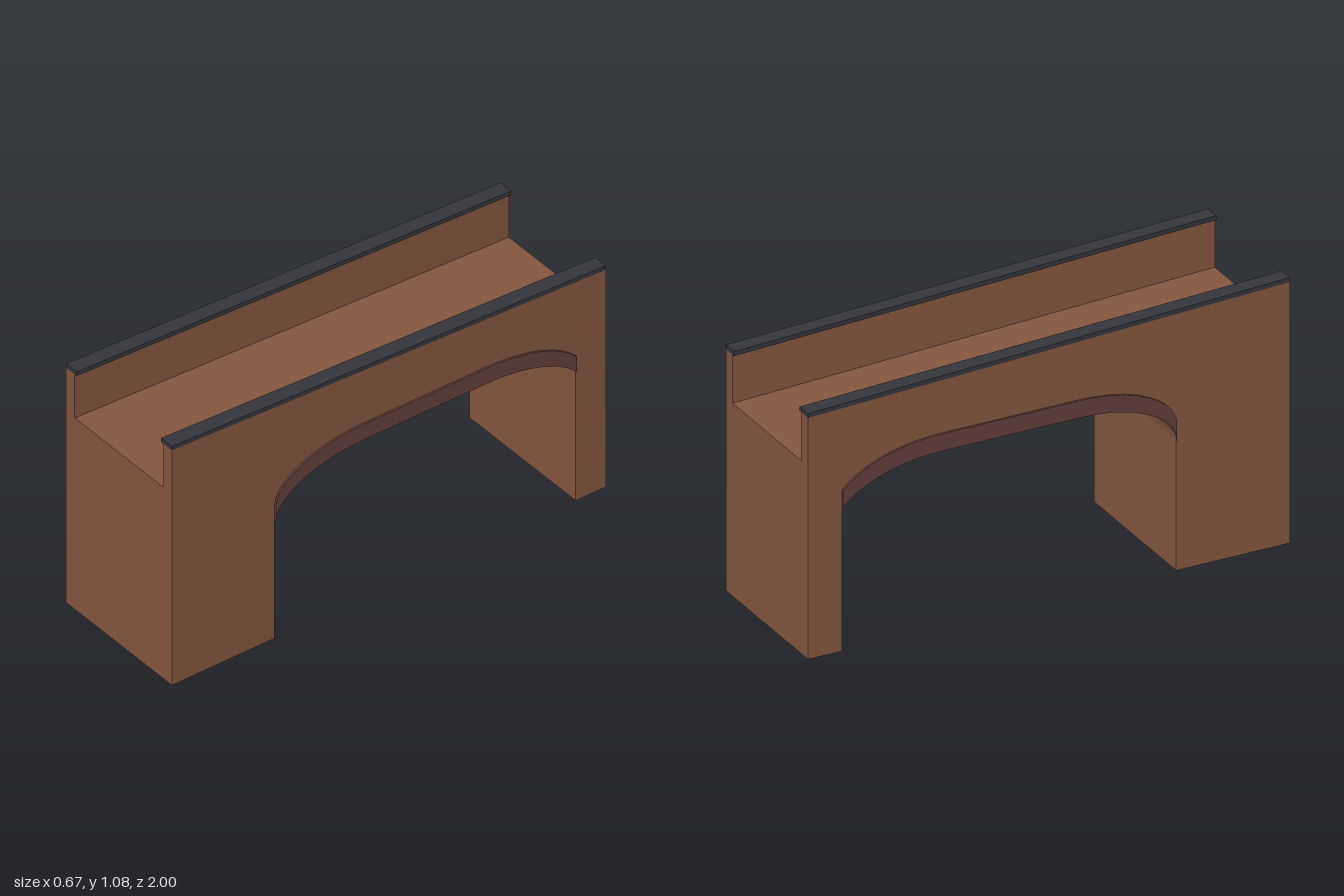
import * as THREE from 'three';

const brick = new THREE.MeshStandardMaterial({ color: 0x855740 });
brick.name = 'brown brick';
const archBrick = new THREE.MeshStandardMaterial({ color: 0x623f3b });
archBrick.name = 'dark red arch brick';
const coping = new THREE.MeshStandardMaterial({ color: 0x35363c });
coping.name = 'dark grey coping';

const HALF = 0.32;   // half width of the bridge
const SKEW = 0.01;   // sideways drift per unit of z
const SLOPE = 0.04;  // rise per unit of z
const RING = 0.07;   // height of the arch ring

// Arch curve as [z, y] from the front springing to the back one
function archPoints(lift = 0) {
  const n = 10, pts = [];
  for (let i = 0; i <= n; i++) {
    const a = (i / n) * Math.PI / 2;
    pts.push([0.125 + 0.402 * Math.cos(a), 0.53 + 0.19 * Math.sin(a) + lift]);
  }
  const end = Math.asin(0.413 / 0.46);
  for (let i = 0; i <= n; i++) {
    const a = (i / n) * end;
    pts.push([-0.447 - 0.46 * Math.sin(a), 0.48 + 0.24 * Math.cos(a) + lift]);
  }
  return pts;
}

// Extrudes a [z, y] outline across x0..x1 and skews it
function slab(name, outline, x0, x1, material) {
  const shape = new THREE.Shape(outline.map(([z, y]) => new THREE.Vector2(z, y)));
  const geo = new THREE.ExtrudeGeometry(shape, { depth: x1 - x0, bevelEnabled: false });
  geo.rotateY(-Math.PI / 2).translate(x1, 0, 0);
  geo.applyMatrix4(new THREE.Matrix4().set(
    1, 0, SKEW, 0,
    0, 1, 0, 0,
    0, 0, 1, 0,
    0, 0, 0, 1));
  const mesh = new THREE.Mesh(geo, material);
  mesh.name = name;
  return mesh;
}

// Sloping strip along the full length between two mid-length heights
const strip = (low, high) => [
  [1, low + SLOPE], [1, high + SLOPE], [-1, high - SLOPE], [-1, low - SLOPE],
];

export function createModel() {
  const bridge = new THREE.Group();
  bridge.name = 'archBridge';

  // Abutments, arch and deck in one solid
  const body = [
    [1, 0], [0.527, 0], ...archPoints(), [-0.86, 0], [-1, 0],
    [-1, 0.825 - SLOPE], [1, 0.825 + SLOPE],
  ];
  bridge.add(slab('bridgeBody', body, -HALF, HALF, brick));

  const ring = [...archPoints(), ...archPoints(RING).reverse()];
  for (const [side, s] of [['left', 1], ['right', -1]]) {
    const add = (part, outline, a, b, material) =>
      bridge.add(slab(side + part, outline, Math.min(s * a, s * b), Math.max(s * a, s * b), material));
    add('Parapet', strip(0.825, 1.022), 0.267, HALF, brick);
    add('Coping', strip(1.022, 1.04), 0.255, HALF, coping);
    add('ArchRing', ring, HALF, HALF + 0.008, archBrick);
  }
  return bridge;
}
